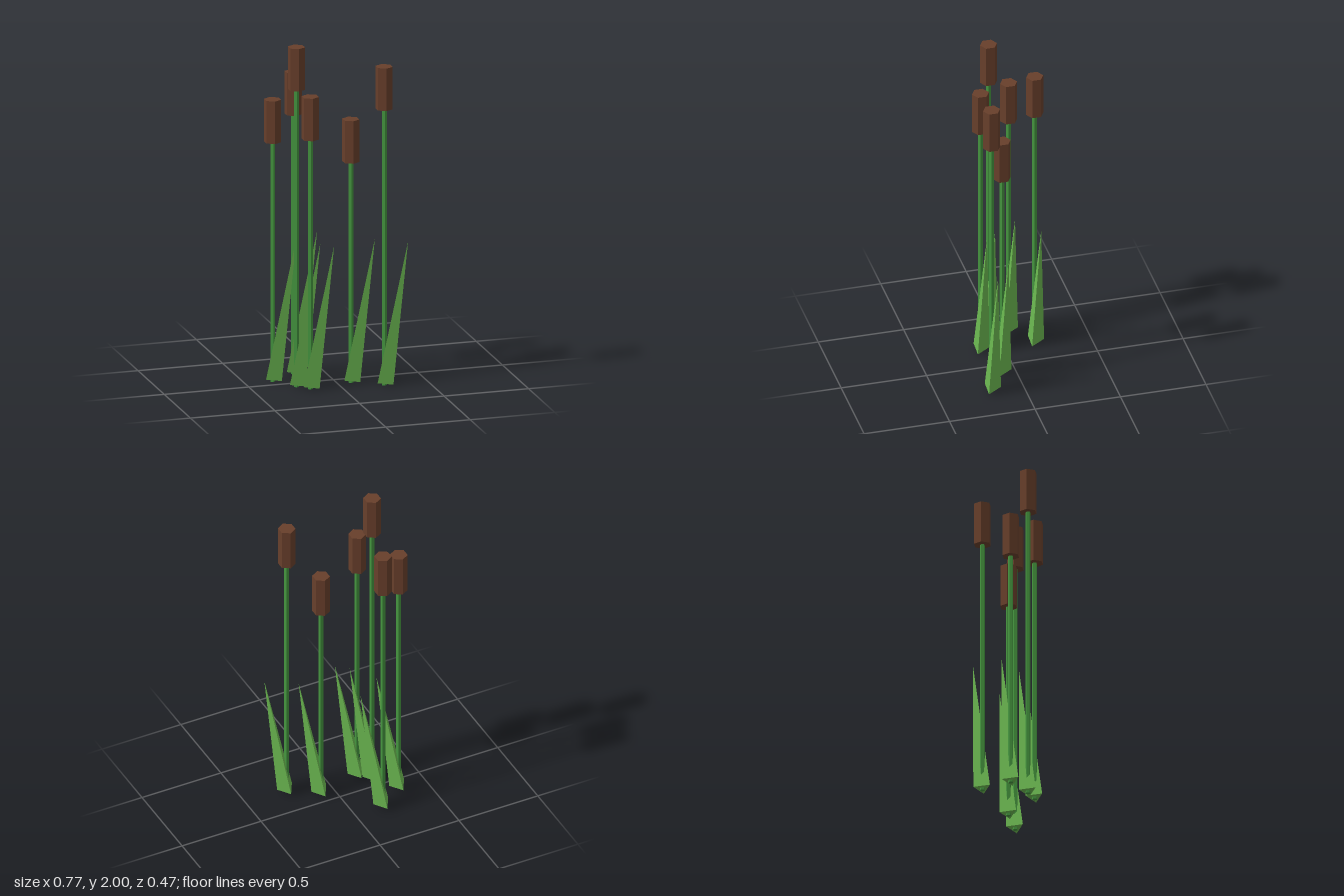
import * as THREE from 'three';

const mat = (name, color) =>
  Object.assign(new THREE.MeshStandardMaterial({ color, flatShading: true }), { name });

export function createModel() {
  const group = new THREE.Group();
  group.name = 'reeds';
  const stemGreen = mat('stem green', 0x45963f);
  const leafGreen = mat('leaf green', 0x6dbb52);
  const headBrown = mat('head brown', 0x683f2b);

  const headHeight = 0.25;
  const leafHeight = 0.832;

  // Hexagonal seed head, hanging down from its top
  const headGeo = new THREE.CylinderGeometry(0.05, 0.05, headHeight, 6);
  headGeo.translate(0, -headHeight / 2, 0);

  // Three-sided leaf blade, flat side to the front, leaning to +x
  const leafGeo = new THREE.ConeGeometry(0.055, leafHeight, 3);
  leafGeo.rotateY(Math.PI);
  leafGeo.translate(0, leafHeight / 2, 0);
  leafGeo.rotateZ(-0.1715);
  leafGeo.translate(0, 0.013, 0);

  // x, z and total height of each reed
  const reeds = [
    [-0.181, -0.181, 1.78],
    [-0.338, -0.07, 1.66],
    [-0.241, 0.073, 2.0],
    [-0.179, 0.137, 1.72],
    [0.079, 0.08, 1.55],
    [0.243, 0.185, 1.875],
  ];

  for (const [x, z, top] of reeds) {
    const reed = new THREE.Group();
    reed.name = 'reed';
    reed.position.set(x, 0, z);
    const add = (name, geo, material, y) => {
      const mesh = new THREE.Mesh(geo, material);
      mesh.name = name;
      mesh.position.y = y;
      reed.add(mesh);
    };
    const stemHeight = top - headHeight / 2;
    add('stem', new THREE.CylinderGeometry(0.015, 0.015, stemHeight, 5), stemGreen, stemHeight / 2);
    add('seedHead', headGeo, headBrown, top);
    add('leaf', leafGeo, leafGreen, 0);
    group.add(reed);
  }
  return group;
}
